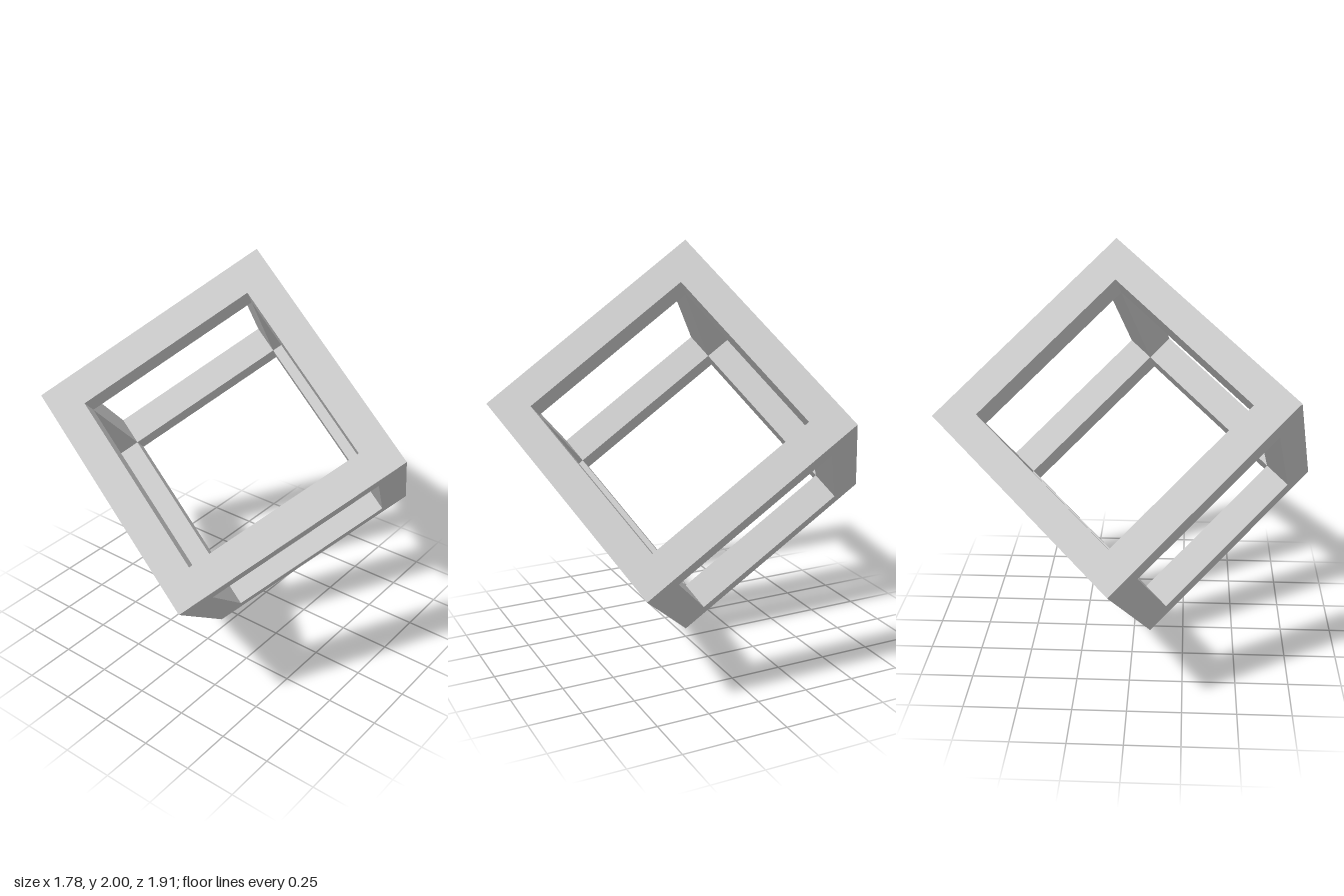
import * as THREE from 'three';
import { mergeGeometries } from 'three/addons/utils/BufferGeometryUtils.js';

const SIDE = 1.159;          // outer edge length
const BAR = SIDE / 8;        // thickness of the square bars
const H = SIDE / 2;
const Q = H - BAR;           // half the opening

function square(Path, h) {
  return new Path([[-h, -h], [h, -h], [h, h], [-h, h]].map(([x, y]) => new THREE.Vector2(x, y)));
}

// One side facing +z: a flat square ring plus the four walls of its opening
function sideGeometry() {
  const shape = square(THREE.Shape, H);
  shape.holes.push(square(THREE.Path, Q));
  const parts = [new THREE.ShapeGeometry(shape).translate(0, 0, H)];
  for (let i = 0; i < 4; i++) {
    parts.push(new THREE.PlaneGeometry(BAR, 2 * Q)
      .rotateY(Math.PI / 2)
      .translate(-Q, 0, H - BAR / 2)
      .rotateZ(i * Math.PI / 2));
  }
  return mergeGeometries(parts);
}

export function createModel() {
  const model = new THREE.Group();
  model.name = 'cubeFrame';
  const material = new THREE.MeshStandardMaterial({ color: 0xcccccc, flatShading: true });
  const geometry = sideGeometry();

  // Six identical sides make the open cube
  const cube = new THREE.Group();
  cube.name = 'tiltedCube';
  const turns = [[0, 0], [0, 1], [0, 2], [0, 3], [1, 0], [-1, 0]];
  turns.forEach(([rx, ry], i) => {
    const side = new THREE.Mesh(geometry, material);
    side.name = `sideFrame${i + 1}`;
    side.rotation.set(rx * Math.PI / 2, ry * Math.PI / 2, 0);
    cube.add(side);
  });

  // Stand the cube on one corner, edges running down from the top corner
  const x = new THREE.Vector3(-0.15, -0.695, 0.91).normalize();
  const z = new THREE.Vector3(0.805, -0.725, -0.415).normalize();
  const y = new THREE.Vector3().crossVectors(z, x).normalize();
  z.crossVectors(x, y);
  cube.quaternion.setFromRotationMatrix(new THREE.Matrix4().makeBasis(x, y, z));
  cube.position.y = 1;
  model.add(cube);
  return model;
}
